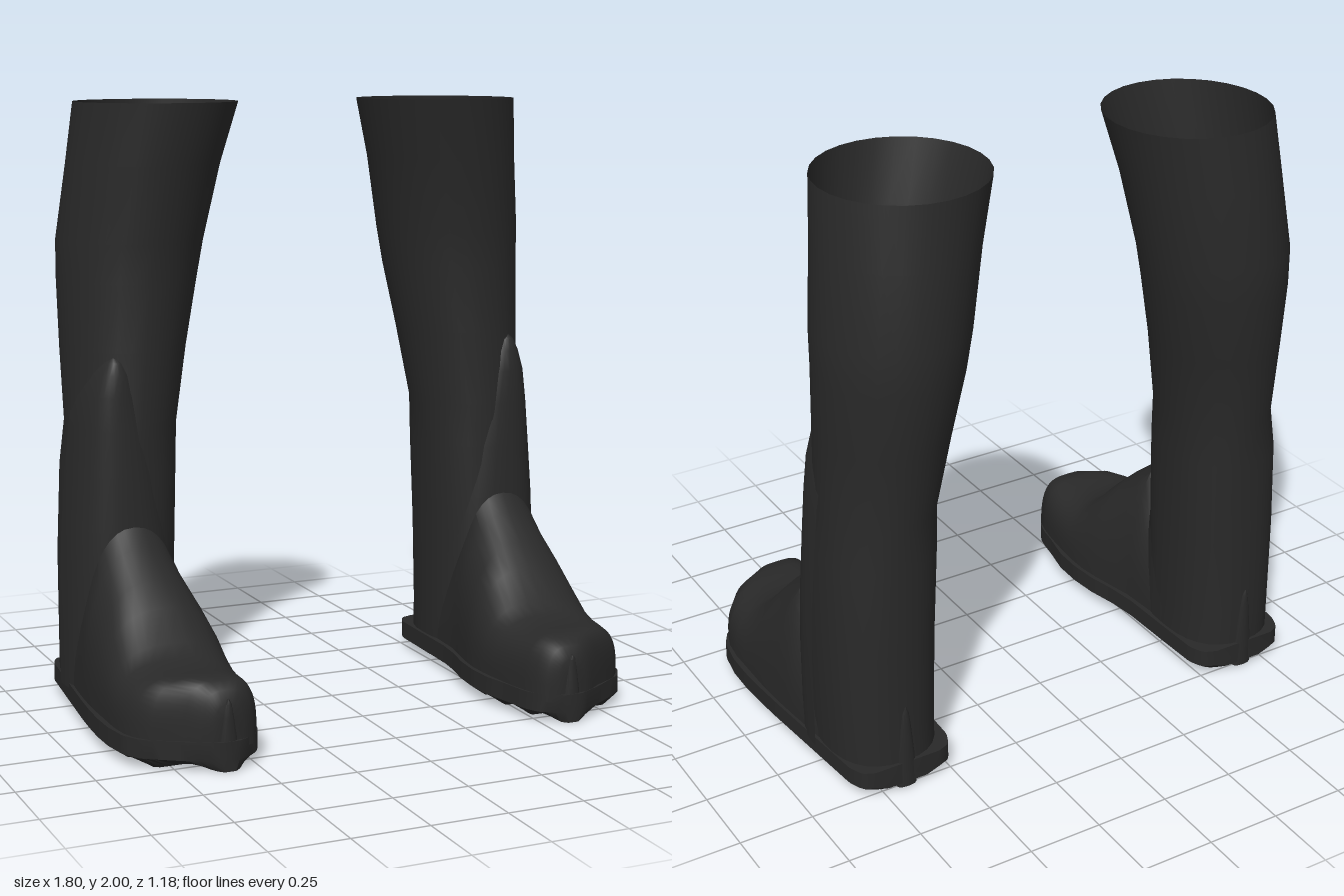
import * as THREE from 'three';
import { toCreasedNormals } from 'three/addons/utils/BufferGeometryUtils.js';

const black = new THREE.MeshStandardMaterial({ color: 0x292929, side: THREE.DoubleSide });
black.name = 'black rubber';

const power = (v, n) => Math.sign(v) * Math.pow(Math.abs(v), 2 / n);

// Skin a list of equal-length rings of [x, y, z]; caps fan out from the ring centre
function loft(rings, { closed = true, capStart = false, capEnd = false, crease = 0.7 } = {}) {
  const n = rings[0].length, pos = rings.flat(2), index = [];
  for (let i = 0; i < rings.length - 1; i++) {
    for (let j = 0; j < (closed ? n : n - 1); j++) {
      const k = (j + 1) % n, a = i * n + j, b = i * n + k;
      index.push(a, b, a + n, b, b + n, a + n);
    }
  }
  const cap = (row, flip) => {
    const c = pos.length / 3;
    pos.push(...[0, 1, 2].map(d => rings[row].reduce((s, p) => s + p[d], 0) / n));
    for (let j = 0; j < n; j++) {
      const a = row * n + j, b = row * n + (j + 1) % n;
      index.push(c, flip ? b : a, flip ? a : b);
    }
  };
  if (capStart) cap(0, true);
  if (capEnd) cap(rings.length - 1, false);
  const g = new THREE.BufferGeometry();
  g.setAttribute('position', new THREE.Float32BufferAttribute(pos, 3));
  g.setIndex(index);
  return toCreasedNormals(g, crease);
}

// Horizontal superellipse from x0..x1, z0..z1 at height y, swept from angle a to b
function flatRing(y, x0, x1, z0, z1, n, count, a = 0, b = Math.PI * 2) {
  const full = b - a > 6;
  return Array.from({ length: count }, (_, j) => {
    const t = a + (b - a) * j / (full ? count : count - 1);
    return [(x0 + x1) / 2 + (x1 - x0) / 2 * power(Math.cos(t), n), y,
      (z0 + z1) / 2 - (z1 - z0) / 2 * power(Math.sin(t), n)];
  });
}

// Smoothly sample table rows along their first column
function sample(rows, steps) {
  const out = [];
  for (let i = 0; i <= steps; i++) {
    const v = rows[0][0] + (rows.at(-1)[0] - rows[0][0]) * i / steps;
    let k = 0;
    while (k < rows.length - 2 && rows[k + 1][0] < v) k++;
    const f = (v - rows[k][0]) / (rows[k + 1][0] - rows[k][0]);
    out.push(rows[k].map((p, d) => p + (rows[k + 1][d] - p) * f));
  }
  return out;
}

// Leg tube, open at the top: y, inner x, outer x, back z, front z
function shaft() {
  const rows = [
    [0.07, 0.49, 0.85, -0.51, -0.07], [0.2, 0.49, 0.85, -0.51, -0.07], [0.5, 0.482, 0.85, -0.51, -0.07],
    [0.8, 0.472, 0.835, -0.515, -0.075], [0.95, 0.46, 0.822, -0.522, -0.072], [1.2, 0.415, 0.828, -0.555, -0.08],
    [1.42, 0.37, 0.83, -0.585, -0.078], [1.55, 0.345, 0.83, -0.59, -0.07], [1.8, 0.295, 0.8, -0.57, -0.03],
    [2, 0.24, 0.78, -0.55, 0.005],
  ];
  return loft(rows.map(([y, ...r]) => flatRing(y, ...r, y < 0.9 ? 2.4 : 2, 28)));
}

// Raised tongue wrapping the front of the ankle: y, inner x, outer x, front z
function tongue() {
  const rows = [
    [0.08, 0.49, 0.87, -0.05], [0.4, 0.495, 0.868, -0.05], [0.62, 0.51, 0.858, -0.057], [0.8, 0.54, 0.842, -0.062],
    [0.95, 0.57, 0.828, -0.068], [1.06, 0.61, 0.81, -0.073], [1.13, 0.64, 0.785, -0.08],
    [1.17, 0.67, 0.76, -0.092], [1.19, 0.705, 0.73, -0.115],
  ];
  return loft(rows.map(([y, x0, x1, z]) => flatRing(y, x0, x1, -0.54 - z, z, 2.5, 21, Math.PI, Math.PI * 2)),
    { closed: false });
}

// Instep and toe cap: z, inner x, outer x, top y, squareness
function foot() {
  const rows = [
    [-0.25, 0.5, 0.85, 0.3, 2.3], [-0.1, 0.49, 0.866, 0.55, 2.3], [-0.055, 0.487, 0.87, 0.635, 2.3],
    [0, 0.475, 0.875, 0.575, 2.3], [0.1, 0.455, 0.88, 0.49, 2.4], [0.17, 0.445, 0.88, 0.42, 2.5],
    [0.25, 0.445, 0.88, 0.325, 2.8], [0.31, 0.45, 0.88, 0.288, 3.1], [0.38, 0.458, 0.872, 0.276, 3.4],
    [0.43, 0.465, 0.855, 0.277, 3.5], [0.48, 0.475, 0.815, 0.28, 3.5], [0.53, 0.49, 0.725, 0.274, 3.4],
    [0.56, 0.515, 0.685, 0.25, 3.2], [0.578, 0.55, 0.65, 0.21, 3],
  ];
  return loft(rows.map(([z, x0, x1, top, n]) => Array.from({ length: 25 }, (_, j) => {
    const t = Math.PI * j / 24;
    return [(x0 + x1) / 2 + (x1 - x0) / 2 * power(Math.cos(t), n),
      0.07 + (top - 0.07) * power(Math.max(0, Math.sin(t)), n), z];
  })), { closed: false, capEnd: true, crease: 1 });
}

// Sole with chamfered edge and rippled tread: z, inner x, outer x
function sole() {
  const rows = [
    [-0.518, 0.55, 0.78], [-0.5, 0.505, 0.82], [-0.45, 0.485, 0.84], [-0.3, 0.48, 0.855], [-0.1, 0.475, 0.875],
    [0, 0.462, 0.885], [0.1, 0.44, 0.893], [0.2, 0.43, 0.898], [0.3, 0.433, 0.896], [0.4, 0.455, 0.88],
    [0.46, 0.465, 0.845], [0.5, 0.475, 0.785], [0.54, 0.495, 0.725], [0.575, 0.54, 0.66], [0.59, 0.57, 0.63],
  ];
  return loft(sample(rows, 72).map(([z, x0, x1]) => {
    const c = Math.min(0.05, (x1 - x0) * 0.2);
    const low = 0.009 + 0.009 * Math.cos(z * Math.PI * 2 / 0.13);
    return [[x0, 0.095, z], [x0, 0.035, z], [x0 + c, low, z], [x1 - c, low, z], [x1, 0.035, z], [x1, 0.095, z]];
  }), { capStart: true, capEnd: true });
}

// Tapered upright rib standing against the toe or the heel
function rib(x, z, depth, height) {
  const rows = [[0.01, 1], [0.4, 0.85], [0.75, 0.55], [0.93, 0.35], [1, 0.08]];
  return loft(rows.map(([h, w]) => flatRing(h * height, x - 0.036 * w, x + 0.036 * w,
    z - depth * (0.6 + 0.4 * w), z + depth * (0.6 + 0.4 * w), 2.5, 12)), { capStart: true, capEnd: true });
}

// Mirror across x, reversing each triangle so that it still faces outwards
function mirrored(geometry) {
  const g = geometry.clone();
  for (const name of ['position', 'normal']) {
    const a = g.attributes[name];
    for (let i = 0; i < a.count; i += 3) {
      const p = [0, 2, 1].map(k => [-a.getX(i + k), a.getY(i + k), a.getZ(i + k)]);
      p.forEach((v, k) => a.setXYZ(i + k, ...v));
    }
  }
  return g;
}

export function createModel() {
  const model = new THREE.Group();
  model.name = 'pairOfBoots';
  const parts = {
    shaft: shaft(), ankleTongue: tongue(), foot: foot(), sole: sole(),
    toeRib: rib(0.6, 0.565, 0.025, 0.225), heelRib: rib(0.665, -0.5, 0.022, 0.3),
  };
  for (const side of ['left', 'right']) {
    const boot = new THREE.Group();
    boot.name = side + 'Boot';
    for (const [name, geometry] of Object.entries(parts)) {
      const mesh = new THREE.Mesh(side === 'left' ? geometry : mirrored(geometry), black);
      mesh.name = name;
      boot.add(mesh);
    }
    model.add(boot);
  }
  return model;
}
